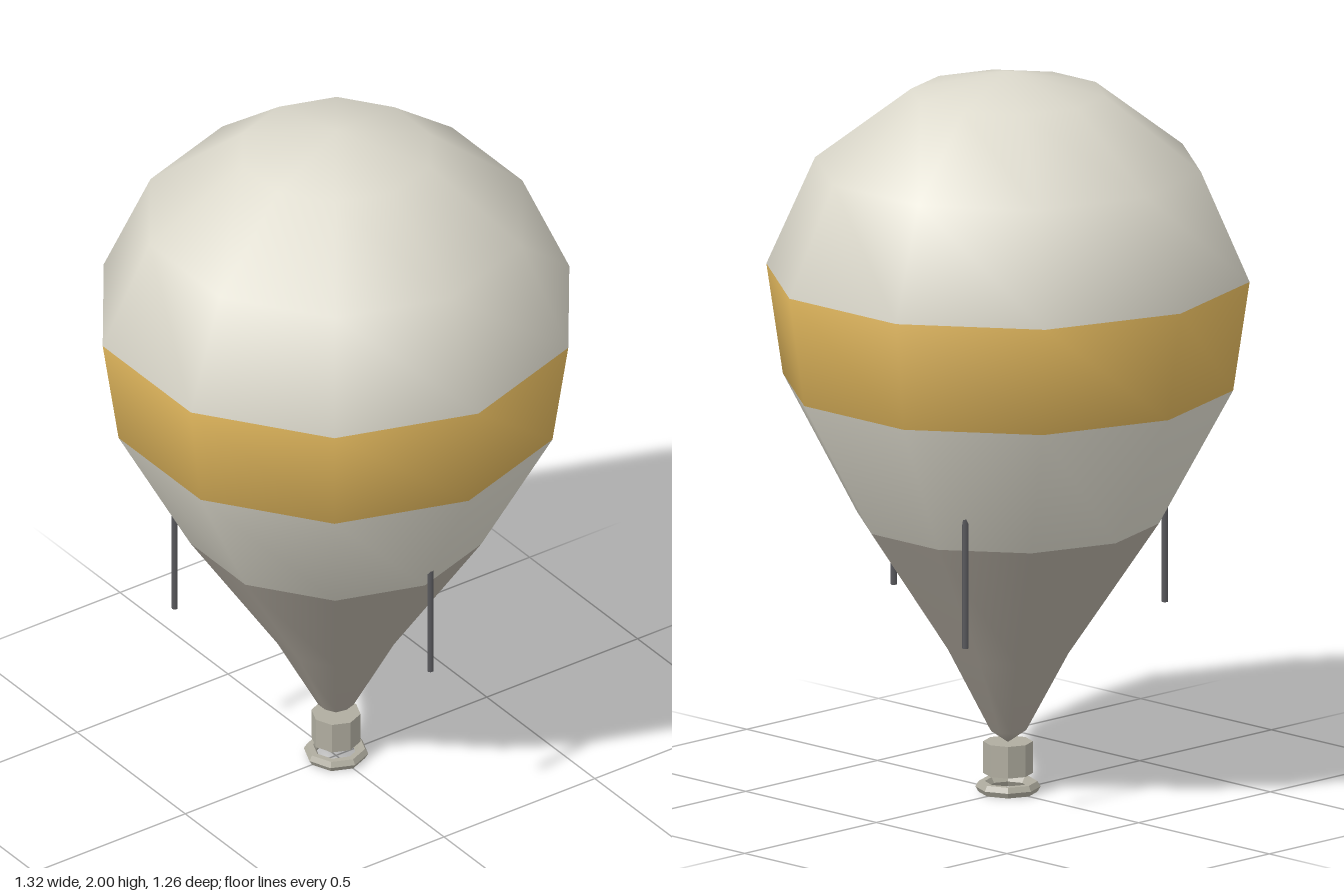
import * as THREE from 'three';

const mat = (name, color) => {
  const m = new THREE.MeshStandardMaterial({ color });
  m.name = name;
  return m;
};

export function createModel() {
  const fabric = mat('offWhiteFabric', 0xdcd9cc);
  const gold = mat('goldBand', 0xdbb25a);
  const lower = mat('greyLowerFabric', 0xb0a99e);
  const metal = mat('paleMetal', 0xb0ada0);
  const dark = mat('darkRod', 0x5a5a5e);

  const model = new THREE.Group();
  model.name = 'balloon';
  const add = (name, geometry, material, x = 0, y = 0, z = 0) => {
    const mesh = new THREE.Mesh(geometry, material);
    mesh.name = name;
    mesh.position.set(x, y, z);
    model.add(mesh);
    return mesh;
  };

  // Ten-sided envelope, radius and height from the bottom up
  const profile = [
    [0, 0.138], [0.05, 0.173], [0.165, 0.39], [0.412, 0.76], [0.615, 1.137],
    [0.66, 1.44], [0.527, 1.74], [0.265, 1.94], [0, 2],
  ].map(([r, y]) => new THREE.Vector2(r, y));
  const sides = 10;
  const rows = profile.length - 1;
  const envelope = new THREE.LatheGeometry(profile, sides, Math.PI / 2);
  // Poles shade straight up and down
  for (let i = 0; i <= sides; i++) {
    envelope.attributes.normal.setXYZ(i * (rows + 1), 0, -1, 0);
    envelope.attributes.normal.setXYZ(i * (rows + 1) + rows, 0, 1, 0);
  }
  // Horizontal colour bands: 0 fabric, 1 gold, 2 lower cone
  const bands = [2, 2, 2, 0, 1, 0, 0, 0];
  for (let i = 0; i < sides; i++) {
    bands.forEach((band, j) => envelope.addGroup((i * rows + j) * 6, 6, band));
  }
  add('envelope', envelope, [fabric, gold, lower]);

  // Three hanging rods, evenly spaced around the lower cone
  for (let i = 0; i < 3; i++) {
    const a = (i * Math.PI * 2) / 3;
    add('hangingRod', new THREE.CylinderGeometry(0.009, 0.009, 0.38, 6), dark,
      0.437 * Math.cos(a), 0.69, 0.437 * Math.sin(a));
  }

  // Octagonal neck and the ring below it
  const faceted = (g) => {
    const flat = g.toNonIndexed();
    flat.computeVertexNormals();
    return flat;
  };
  add('neck', faceted(new THREE.CylinderGeometry(0.067, 0.067, 0.088, 8)), metal, 0, 0.096, 0);
  const ring = new THREE.TorusGeometry(0.071, 0.017, 6, 8);
  ring.rotateX(Math.PI / 2);
  add('bottomRing', faceted(ring), metal, 0, 0.0148, 0);

  return model;
}
